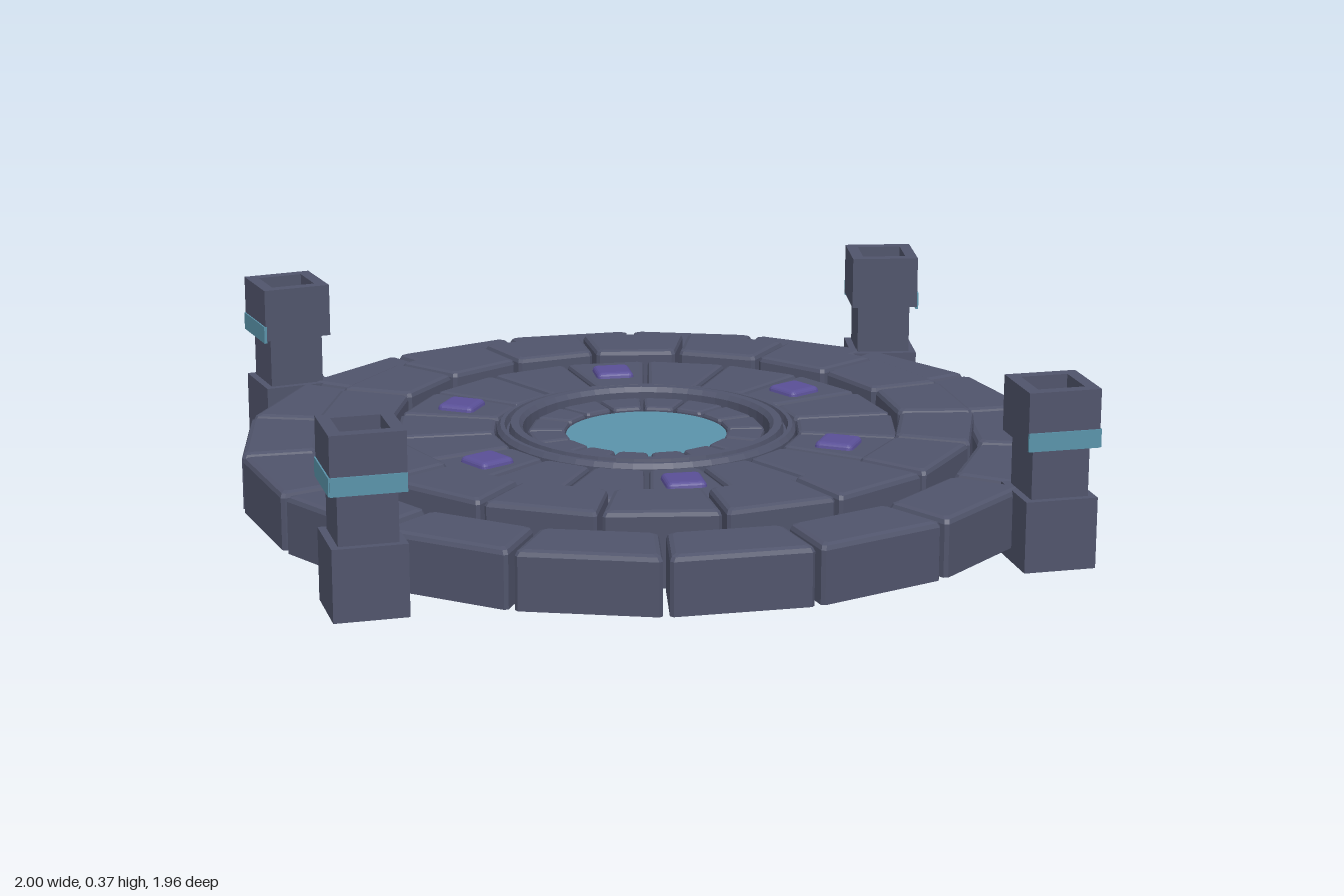
import * as THREE from 'three';
import { RoundedBoxGeometry } from 'three/addons/geometries/RoundedBoxGeometry.js';

const mat = (name, color) => {
  const m = new THREE.MeshStandardMaterial({ color });
  m.name = name;
  m.flatShading = true;
  return m;
};

export function createModel() {
  const stone = mat('slateStone', 0x50546b);
  stone.side = THREE.DoubleSide; // blocks and pillars are open underneath
  const teal = mat('tealGlow', 0x5a93aa);
  const violet = mat('violetGem', 0x594f96);
  const rad = THREE.MathUtils.degToRad;

  const root = new THREE.Group();
  root.name = 'stonePlatform';

  const add = (parent, name, geo, material, x = 0, y = 0, z = 0) => {
    const m = new THREE.Mesh(geo, material);
    m.name = name;
    m.position.set(x, y, z);
    parent.add(m);
    return m;
  };

  const profile = points => points.map(([x, y]) => new THREE.Vector2(x, y));

  // Wedge outline with clipped corners, pointing along +x
  const outline = (r0, r1, half, gap, inset, c) => {
    const a = r0 + inset, b = r1 - inset;
    const w = r => r * Math.tan(half) - gap / 2 - inset;
    const side = [[a, w(a) - c], [a + c, w(a + c)], [b - c, w(b - c)], [b, w(b) - c]];
    return [...side, ...side.map(([x, z]) => [x, -z]).reverse()];
  };

  // Wedge block lofted from outlines: bevelled top edge, open underside
  function blockGeometry(r0, r1, count, y0, y1, gap, bevel) {
    const half = Math.PI / count;
    const loops = [[y0, 0], [y1 - bevel, 0], [y1 - bevel * 0.3, bevel * 0.3], [y1, bevel]]
      .map(([y, i]) => outline(r0, r1, half, gap, i, bevel * 0.6).map(([x, z]) => [x, y, z]));
    const n = loops[0].length, pos = loops.flat(2), idx = [];
    for (let l = 0; l < loops.length - 1; l++) {
      for (let i = 0; i < n; i++) {
        const a = l * n + i, b = l * n + (i + 1) % n;
        idx.push(a, b, b + n, a, b + n, a + n);
      }
    }
    const top = (loops.length - 1) * n;
    for (let i = 1; i < n - 1; i++) idx.push(top, top + i, top + i + 1);
    const g = new THREE.BufferGeometry();
    g.setAttribute('position', new THREE.Float32BufferAttribute(pos, 3));
    g.setIndex(idx);
    const flat = g.toNonIndexed();
    flat.computeVertexNormals();
    return flat;
  }

  function stoneRing(name, r0, r1, count, y0, y1, startDeg, gap, bevel) {
    const ring = new THREE.Group();
    ring.name = name;
    const geo = blockGeometry(r0, r1, count, y0, y1, gap, bevel);
    for (let i = 0; i < count; i++) {
      add(ring, name + 'Block', geo, stone).rotation.y = rad(startDeg) + i * 2 * Math.PI / count;
    }
    root.add(ring);
  }

  // Concentric paving rings
  stoneRing('outerRing', 0.68, 0.832, 18, 0.028, 0.147, 10, 0.013, 0.012);
  stoneRing('middleRing', 0.522, 0.677, 18, 0.028, 0.182, 0, 0.01, 0.011);
  stoneRing('innerRing', 0.314, 0.519, 18, 0.026, 0.158, 7.6, 0.009, 0.009);
  stoneRing('centreStones', 0.168, 0.244, 16, 0.026, 0.15, -4, 0.007, 0.007);

  // Grooved collar around the centre
  const collar = profile([
    [0.312, 0.026], [0.312, 0.155], [0.305, 0.165], [0.296, 0.165], [0.292, 0.15],
    [0.287, 0.15], [0.283, 0.168], [0.266, 0.168], [0.258, 0.158], [0.258, 0.026],
  ]);
  add(root, 'centreCollar', new THREE.LatheGeometry(collar, 48), stone);

  // Glowing pool disc
  add(root, 'centreDisc', new THREE.CylinderGeometry(0.168, 0.168, 0.02, 40), teal, 0, 0.13, 0);

  // Gems set in every third inner block
  const gemGeo = new RoundedBoxGeometry(0.082, 0.036, 0.082, 2, 0.012);
  for (let i = 0; i < 6; i++) {
    const a = rad(7.6 + i * 60);
    add(root, 'gem', gemGeo, violet, 0.418 * Math.cos(a), 0.152, -0.418 * Math.sin(a)).rotation.y = a;
  }

  // Square pillar shell: base, narrower shaft, cap with a hollow top
  const size = 0.147;
  const shell = profile([
    [size, 0], [size, 0.145], [0.117, 0.145], [0.117, 0.252],
    [size, 0.252], [size, 0.365], [0.096, 0.365], [0.096, 0.325],
  ].map(([s, y]) => [s * Math.SQRT1_2, y]));
  const shellGeo = new THREE.LatheGeometry(shell, 4).rotateY(Math.PI / 4);
  const floorGeo = new THREE.PlaneGeometry(0.083, 0.083).rotateX(-Math.PI / 2);
  const bandGeo = new THREE.BoxGeometry(0.006, 0.037, size);

  // Four pillars: x, z, turn in degrees, radius of the light in the cap
  for (const [x, z, turn, light] of [
    [0.147, -0.88, 31, 0.01], [0.895, 0.003, 41, 0], [-0.147, 0.875, 43, 0.018], [-0.898, -0.015, 51, 0.012],
  ]) {
    const pillar = new THREE.Group();
    pillar.name = 'pillar';
    pillar.position.set(x, 0, z);
    pillar.rotation.y = rad(turn);
    add(pillar, 'pillarShell', shellGeo, stone);
    add(pillar, 'capFloor', floorGeo, stone, 0, 0.335, 0);
    if (light) {
      add(pillar, 'capLight', new THREE.CylinderGeometry(light, light, 0.006, 12), teal, 0, 0.338, 0);
    }
    // Glowing bands on the two outward faces of the cap
    const outward = Math.atan2(-z, x);
    for (let k = 0; k < 4; k++) {
      const a = k * Math.PI / 2;
      if (Math.cos(a + rad(turn) - outward) < 0.3) continue;
      const r = size / 2;
      add(pillar, 'capBand', bandGeo, teal, r * Math.cos(a), 0.266, -r * Math.sin(a)).rotation.y = a;
    }
    root.add(pillar);
  }

  return root;
}
